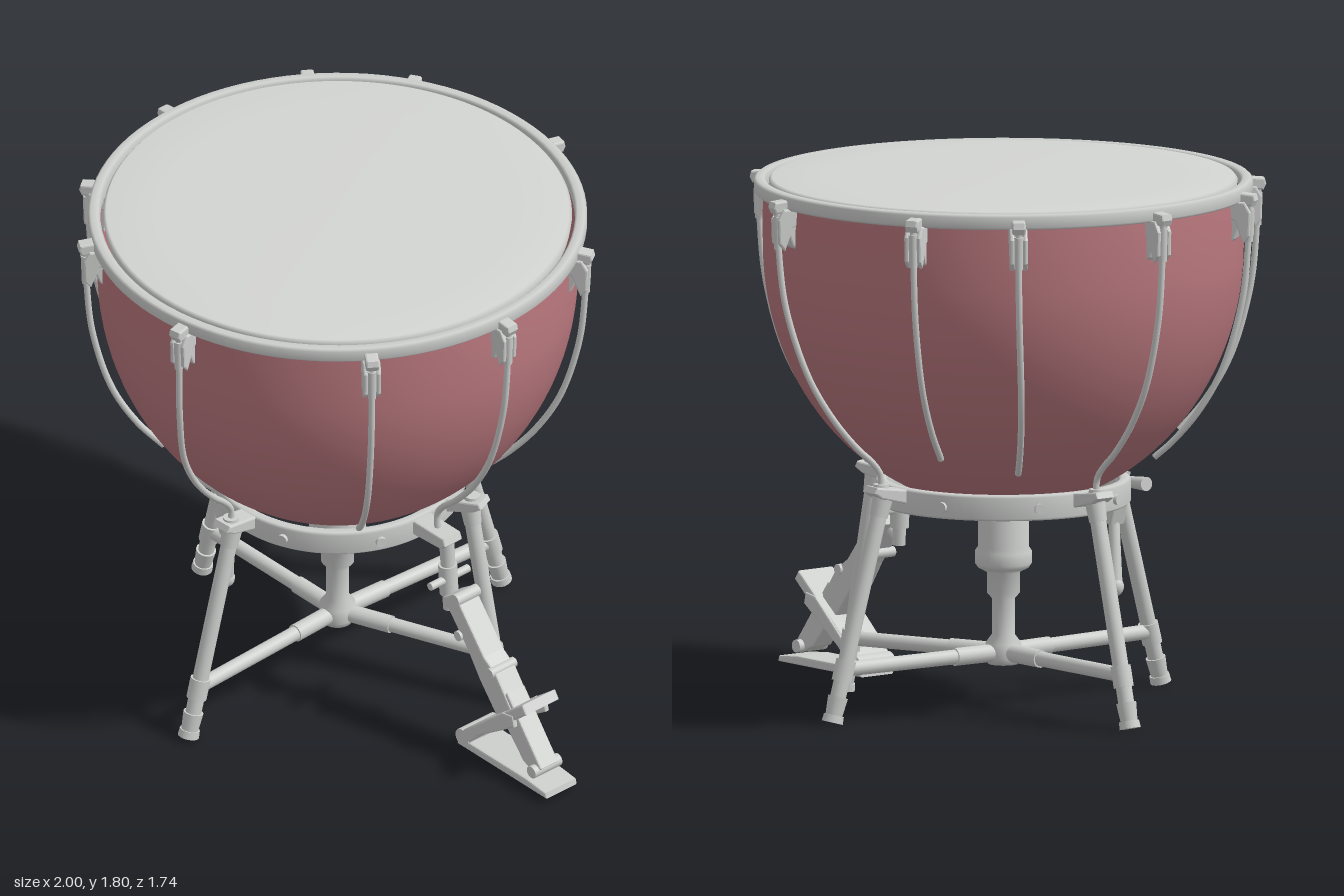
import * as THREE from 'three';

const metal = new THREE.MeshStandardMaterial({ color: 0xcdcfcd });
metal.name = 'light metal';
const skin = new THREE.MeshStandardMaterial({ color: 0xd3d5d2 });
skin.name = 'drum skin';
const copper = new THREE.MeshStandardMaterial({ color: 0xb9787e, side: THREE.DoubleSide });
copper.name = 'rose copper';

const V = (x, y, z = 0) => new THREE.Vector3(x, y, z);
// point at a radius and angle (degrees) around the drum axis
const polar = (r, deg, y) => {
  const a = THREE.MathUtils.degToRad(deg);
  return V(r * Math.cos(a), y, r * Math.sin(a));
};

function add(parent, name, geometry, material = metal, pos) {
  const mesh = new THREE.Mesh(geometry, material);
  mesh.name = name;
  if (pos) mesh.position.copy(pos);
  parent.add(mesh);
  return mesh;
}

// round bar from a to b
function bar(parent, name, a, b, ra, rb = ra) {
  const d = b.clone().sub(a);
  const mesh = add(parent, name, new THREE.CylinderGeometry(rb, ra, d.length(), 16), metal, a.clone().lerp(b, 0.5));
  mesh.quaternion.setFromUnitVectors(V(0, 1, 0), d.normalize());
  return mesh;
}

// side outline in x/y, given depth and centred on z = 0
function slab(parent, name, pts, depth, z = 0) {
  const shape = new THREE.Shape(pts.map(p => new THREE.Vector2(p[0], p[1])));
  const b = 0.006;
  const g = new THREE.ExtrudeGeometry(shape, { depth: depth - 2 * b, bevelSize: b, bevelThickness: b, bevelSegments: 2, bevelOffset: -b });
  g.translate(0, 0, z - depth / 2 + b);
  return add(parent, name, g);
}

const lathe = (pts, n = 72) => new THREE.LatheGeometry(pts.map(p => new THREE.Vector2(p[0], p[1])), n);

// square-section ring
function ringBand(ri, ro, y0, y1) {
  const c = 0.008;
  const pts = [[ri, y0 + c], [ri + c, y0], [ro - c, y0], [ro, y0 + c], [ro, y1 - c], [ro - c, y1], [ri + c, y1], [ri, y1 - c], [ri, y0 + c]];
  return lathe(pts, 96);
}

function buildBowl(drum) {
  const pts = [];
  for (let i = 0; i <= 32; i++) {
    const a = (i / 32) * Math.PI / 2;
    pts.push([0.8 * Math.sin(a), 1.55 - 0.88 * Math.cos(a)]);
  }
  pts.push([0.802, 1.65], [0.795, 1.76]);
  add(drum, 'bowl', lathe(pts, 96), copper);
  add(drum, 'head', lathe([[0.775, 1.74], [0.78, 1.77], [0.77, 1.782], [0.6, 1.788], [0.3, 1.791], [0, 1.792]], 96), skin);
  add(drum, 'hoop', ringBand(0.79, 0.83, 1.73, 1.78));
}

// rod side profile: radius, height
const rodProfile = [[0.855, 1.72], [0.85, 1.6], [0.83, 1.4], [0.765, 1.17], [0.68, 1.02], [0.59, 0.915], [0.53, 0.862], [0.5, 0.82], [0.5, 0.76]];

function buildLug(drum, deg, endDeg, count) {
  const lug = new THREE.Group();
  lug.name = 'tensionLug';
  lug.rotation.y = -THREE.MathUtils.degToRad(deg);
  drum.add(lug);
  // clamp hooked over the hoop
  slab(lug, 'hoopClaw', [[0.82, 1.725], [0.82, 1.765], [0.875, 1.76], [0.88, 1.74], [0.87, 1.72]], 0.045);
  // forked hanger on either side of the rod
  for (const z of [-0.022, 0.022])
    slab(lug, 'hangerCheek', [[0.79, 1.735], [0.845, 1.735], [0.865, 1.7], [0.862, 1.62], [0.84, 1.595], [0.825, 1.63], [0.81, 1.67], [0.79, 1.68]], 0.016, z);
  slab(lug, 'bowlBracket', [[0.785, 1.73], [0.835, 1.73], [0.83, 1.66], [0.81, 1.61], [0.79, 1.59]], 0.055);
  bar(lug, 'rodNut', V(0.852, 1.6), V(0.854, 1.71), 0.014, 0.016);
  const pts = rodProfile.slice(0, count).map(([r, y]) =>
    polar(r, THREE.MathUtils.lerp(deg, endDeg, THREE.MathUtils.smoothstep(1.6 - y, 0, 0.85)), y));
  add(drum, 'tensionRod', new THREE.TubeGeometry(new THREE.CatmullRomCurve3(pts), 48, 0.011, 10));
}

function buildLeg(drum, deg, footR) {
  const foot = polar(footR, deg, 0), top = polar(0.49, deg, 0.75);
  const at = y => foot.clone().lerp(top, y / 0.75);
  bar(drum, 'leg', at(0.03), top, 0.027);
  bar(drum, 'rubberFoot', at(0.005), at(0.03), 0.036, 0.034);
  bar(drum, 'footSleeve', at(0.02), at(0.09), 0.028, 0.034);
  bar(drum, 'legCollar', at(0.14), at(0.21), 0.034);
  bar(drum, 'legTopSleeve', at(0.68), at(0.75), 0.03, 0.035);
  bar(drum, 'crossBar', at(0.18), V(0, 0.18), 0.025);
  bar(drum, 'crossBarSleeve', polar(0.2, deg, 0.18), V(0, 0.18), 0.03);
  // arm joining the leg to the collar ring
  const arm = new THREE.Group();
  arm.name = 'legBracket';
  arm.rotation.y = -THREE.MathUtils.degToRad(deg);
  drum.add(arm);
  slab(arm, 'bracketArm', [[0.4, 0.715], [0.4, 0.765], [0.54, 0.785], [0.55, 0.765], [0.52, 0.745]], 0.075);
  bar(arm, 'bracketKnob', V(0.5, 0.745), V(0.5, 0.79), 0.032, 0.026);
}

function buildStand(drum) {
  add(drum, 'collarRing', ringBand(0.385, 0.425, 0.685, 0.77));
  for (let i = 0; i < 8; i++)
    bar(drum, 'collarBolt', polar(0.41, i * 45 + 22, 0.725), polar(0.437, i * 45 + 22, 0.725), 0.018);
  buildLeg(drum, 180, 0.68);
  buildLeg(drum, 87, 0.7);
  buildLeg(drum, -87, 0.7);
  buildLeg(drum, -22, 0.61);
  // central tuning gear and its post
  add(drum, 'centreHub', lathe([[0, 0.14], [0.05, 0.14], [0.06, 0.16], [0.06, 0.21], [0.038, 0.24], [0.038, 0.36], [0.055, 0.38],
    [0.055, 0.45], [0.085, 0.465], [0.095, 0.48], [0.095, 0.52], [0.085, 0.535], [0.085, 0.63], [0.075, 0.64], [0.03, 0.645], [0.03, 0.7]], 40));
}

function buildTuningLever(root) {
  const lever = new THREE.Group();
  lever.name = 'tuningLever';
  lever.position.set(0, 0, 0.37);
  root.add(lever);
  slab(lever, 'leverMount', [[-0.3, 0.77], [-0.19, 0.77], [-0.21, 0.66], [-0.235, 0.59], [-0.265, 0.59], [-0.285, 0.66]], 0.06);
  bar(lever, 'leverHandle', V(-0.245, 0.62), V(-0.28, 0.39, -0.02), 0.018, 0.023);
  const knob = add(lever, 'leverKnob', new THREE.SphereGeometry(0.027, 20, 14), metal, V(-0.281, 0.385, -0.02));
  knob.scale.y = 1.2;
  bar(lever, 'clampScrew', V(-0.42, 0.745), V(-0.3, 0.74), 0.024, 0.018);
}

function buildPedal(root) {
  const pedal = new THREE.Group();
  pedal.name = 'pedal';
  root.add(pedal);
  // hanging post
  slab(pedal, 'pedalMount', [[0.27, 0.71], [0.27, 0.765], [0.45, 0.765], [0.46, 0.74], [0.44, 0.72]], 0.08);
  bar(pedal, 'pedalPost', V(0.44, 0.47), V(0.425, 0.75), 0.022, 0.026);
  bar(pedal, 'postSleeve', V(0.437, 0.53), V(0.43, 0.64), 0.032);
  bar(pedal, 'postPin', V(0.437, 0.59, -0.085), V(0.437, 0.59, 0.085), 0.014);
  // arm sloping to the foot plate
  bar(pedal, 'elbow', V(0.435, 0.49), V(0.52, 0.55), 0.022);
  bar(pedal, 'elbowPin', V(0.52, 0.56, -0.05), V(0.52, 0.56, 0.05), 0.022);
  slab(pedal, 'pedalArm', [[0.455, 0.54], [0.505, 0.575], [0.53, 0.56], [0.66, 0.4], [0.72, 0.36], [0.8, 0.25], [0.73, 0.19], [0.64, 0.3], [0.58, 0.39]], 0.09);
  for (const [x, y] of [[0.54, 0.43], [0.7, 0.36]])
    bar(pedal, 'armBolt', V(x, y, -0.055), V(x, y, 0.055), 0.018);
  slab(pedal, 'linkPlate', [[0.7, 0.25], [0.77, 0.31], [0.94, 0.09], [0.91, 0.055], [0.85, 0.08]], 0.08);
  bar(pedal, 'toeRoller', V(0.915, 0.075, -0.06), V(0.915, 0.075, 0.06), 0.022);
  // tilted foot board with raised rim, heel hinge and floor plate
  slab(pedal, 'footBoard', [[0.57, 0.055], [0.585, 0.085], [0.7, 0.185], [0.885, 0.335], [0.905, 0.305], [0.73, 0.155], [0.61, 0.045]], 0.15);
  for (const z of [-0.07, 0.07])
    slab(pedal, 'boardRim', [[0.66, 0.1], [0.64, 0.13], [0.79, 0.26], [0.84, 0.27], [0.85, 0.23]], 0.02, z);
  bar(pedal, 'heelHinge', V(0.585, 0.055, -0.075), V(0.585, 0.055, 0.075), 0.032);
  slab(pedal, 'floorPlate', [[0.555, 0.015], [0.56, 0.045], [0.9, 0.045], [0.995, 0.035], [1.0, 0.015]], 0.14);
}

export function createModel() {
  const root = new THREE.Group();
  root.name = 'kettledrum';
  const drum = new THREE.Group();
  drum.name = 'drum';
  drum.position.x = -0.12;
  root.add(drum);
  buildBowl(drum);
  // lug angle, angle at the rod's end, number of profile points used
  const lugs = [[0, 0, 9], [180, 180, 9]];
  for (const s of [1, -1]) lugs.push([34 * s, 34 * s, 7], [80 * s, 87 * s, 9], [121 * s, 121 * s, 6], [145 * s, 147 * s, 7]);
  for (const l of lugs) buildLug(drum, ...l);
  buildStand(drum);
  buildTuningLever(root);
  buildPedal(root);
  return root;
}
